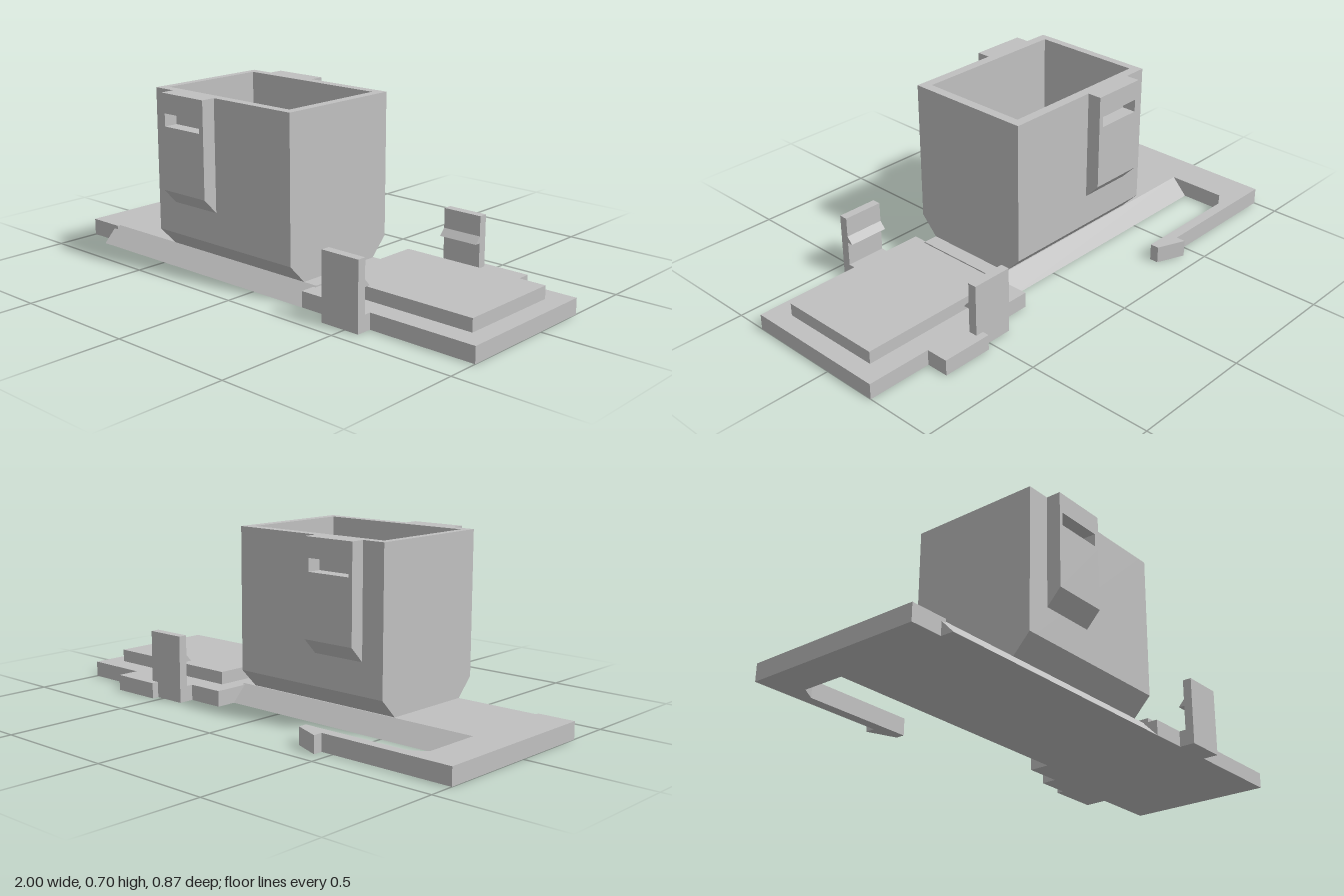
import * as THREE from 'three';

const grey = new THREE.MeshStandardMaterial({ color: 0xc0c0c0 });
grey.name = 'grey plastic';

export function createModel() {
  const model = new THREE.Group();
  model.name = 'latchingHousing';

  const add = (name, geometry) => {
    const mesh = new THREE.Mesh(geometry, grey);
    mesh.name = name;
    model.add(mesh);
  };
  const shapeOf = (pts) => new THREE.Shape(pts.map(([a, b]) => new THREE.Vector2(a, b)));
  const extrude = (shape, depth) =>
    new THREE.ExtrudeGeometry(shape, { depth, bevelEnabled: false, curveSegments: 24 });

  // side profile of [z, y] points, swept from x0 to x1
  const sweepX = (name, pts, x0, x1) =>
    add(name, extrude(shapeOf(pts), x1 - x0).rotateY(-Math.PI / 2).translate(x1, 0, 0));

  // plan outline of [x, z] points, raised from y0 to y1, with an optional round hole
  const raiseY = (name, pts, y0, y1, hole) => {
    const shape = shapeOf(pts.map(([x, z]) => [x, -z]));
    if (hole) {
      const path = new THREE.Path();
      path.absarc(hole.x, -hole.z, hole.r, 0, Math.PI * 2, true);
      shape.holes.push(path);
    }
    add(name, extrude(shape, y1 - y0).rotateX(-Math.PI / 2).translate(0, y0, 0));
  };
  const rect = (x0, x1, z0, z1) => [[x0, z0], [x1, z0], [x1, z1], [x0, z1]];

  const T = 0.067; // base thickness
  const mid = 0.1175; // centre line of the housing in z
  const hole = { x: -0.118, z: 0.115, r: 0.079 };

  // base strip with sloping long edges
  raiseY('basePlate', rect(-0.86, 0.255, -0.078, 0.308), 0, T, hole);
  sweepX('frontSlope', [[0.308, 0], [0.373, 0], [0.308, T]], -0.87, 0.255);
  sweepX('backSlope', [[-0.143, 0], [-0.078, 0], [-0.078, T]], -0.85, 0.255);

  // end slab with the hooked spring arm
  raiseY('endSlabAndLatchArm', [
    [-1, -0.397], [-0.45, -0.397], [-0.45, -0.435], [-0.338, -0.39], [-0.338, -0.355],
    [-0.79, -0.355], [-0.85, -0.317], [-0.85, 0.322], [-1, 0.322],
  ], 0, T);

  // lid plate with its rear tab and raised pad
  raiseY('lidPlate', [
    [0.245, -0.225], [0.53, -0.225], [0.53, -0.315], [0.737, -0.315], [0.737, -0.225],
    [1, -0.225], [1, 0.373], [0.245, 0.373],
  ], 0, 0.062);
  raiseY('lidPad', rect(0.315, 0.925, -0.14, 0.288), 0.062, 0.112);

  // open housing: end walls, long walls with chamfered feet, floor
  const outline = [[-0.143, 0.7], [-0.143, 0.14], [-0.073, T], [0.308, T], [0.378, 0.14], [0.378, 0.7]];
  sweepX('housingLeftWall', outline, 0.157, 0.195);
  sweepX('housingRightWall', outline, -0.507, -0.475);
  raiseY('housingFloor', rect(-0.475, 0.157, -0.073, 0.308), T, 0.14, hole);

  for (const s of [1, -1]) {
    const side = s > 0 ? 'front' : 'back';
    const at = (pts) => pts.map(([d, y]) => [mid + s * d, y]);

    sweepX(side + 'HousingWall', at([
      [0.2605, 0.7], [0.2605, 0.14], [0.1905, T], [0.1905, 0.14], [0.222, 0.14], [0.222, 0.7],
    ]), -0.475, 0.157);

    // catch block with a rectangular slot
    const a = 0.2605, b = 0.3175;
    sweepX(side + 'CatchLower', at([[a, 0.265], [b, 0.325], [b, 0.573], [a, 0.573]]), -0.412, -0.187);
    sweepX(side + 'CatchUpper', at([[a, 0.623], [b, 0.623], [b, 0.7], [a, 0.7]]), -0.412, -0.187);
    for (const [x0, x1] of [[-0.412, -0.396], [-0.207, -0.187]])
      sweepX(side + 'CatchSlotCheek', at([[a, 0.573], [b, 0.573], [b, 0.623], [a, 0.623]]), x0, x1);

    // upright snap clip with inward barb, joined to the lid plate
    const z = s > 0 ? 0.373 : -0.225;
    const clip = [
      [-0.01, 0], [0.062, 0], [0.062, 0.265], [0.027, 0.265], [0.027, 0.187],
      [0.003, 0.16], [0.027, 0.16], [0.027, 0.062], [-0.01, 0.062],
    ];
    sweepX(side + 'SnapClip', clip.map(([d, y]) => [z + s * d, y]), 0.397, 0.562);
  }

  return model;
}
